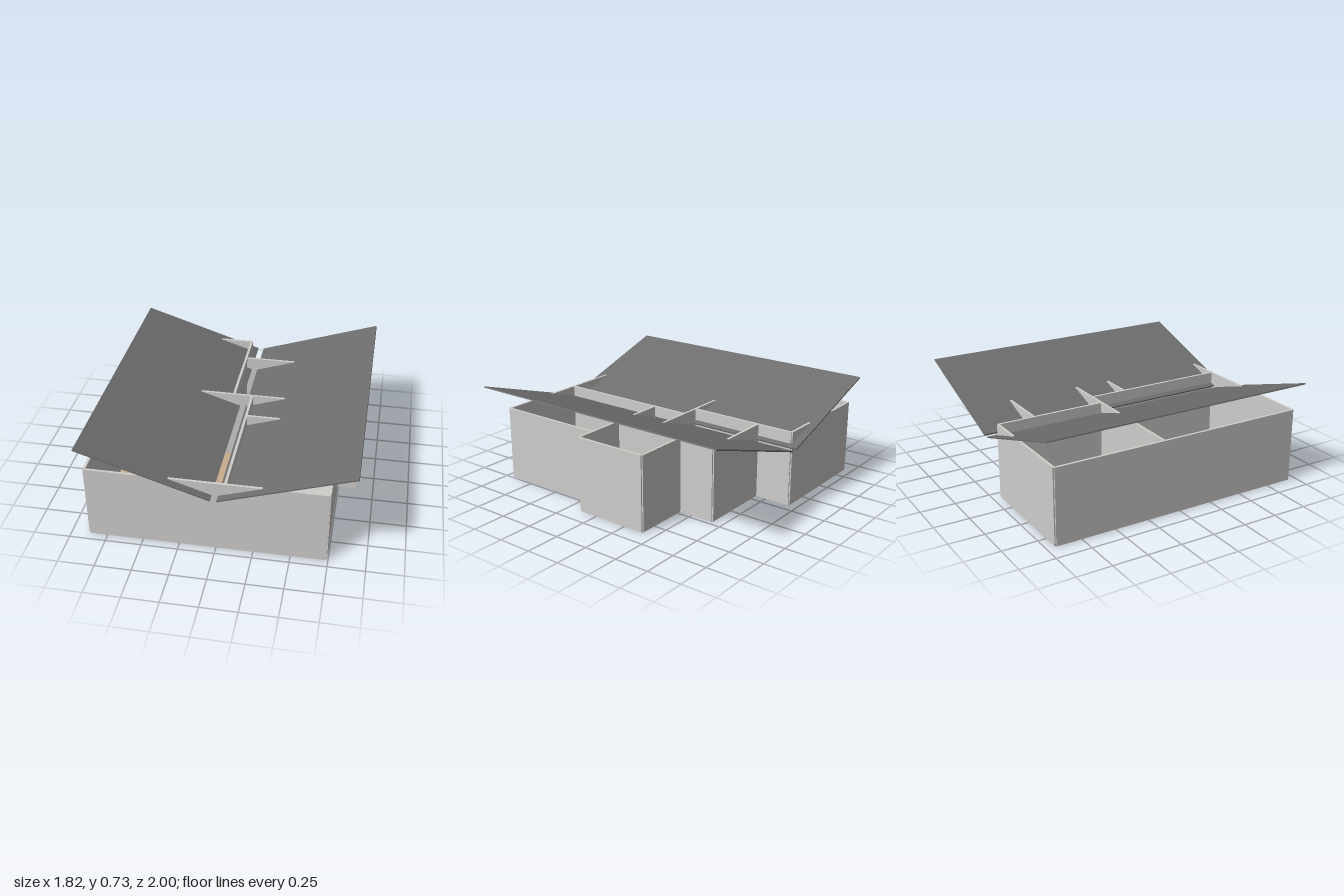
import * as THREE from 'three';

const material = (name, color) => {
  const m = new THREE.MeshStandardMaterial({ color });
  m.name = name;
  return m;
};

export function createModel() {
  const model = new THREE.Group();
  model.name = 'house';

  const plaster = material('plaster', 0xd0cecb);
  const roofing = material('dark roofing', 0x6e6e6e);
  const wood = material('wood floor', 0xc8ac8e);
  const tile = material('pale tile', 0xcccecc);
  const carpet = material('grey carpet', 0xaaaaaa);

  const box = (name, mat, w, h, d, x, y, z) => {
    const mesh = new THREE.Mesh(new THREE.BoxGeometry(w, h, d), mat);
    mesh.name = name;
    mesh.position.set(x, y, z);
    model.add(mesh);
    return mesh;
  };

  // Floors, one slab per room: x0, x1, z0, z1 on the wall centre lines
  const floorH = 0.007;
  const floors = [
    ['livingRoomFloor', wood, -0.87, 0.067, -0.134, 0.935],
    ['frontRoomFloor', tile, 0.067, 0.735, 0.134, 0.935],
    ['backRoomFloor', tile, -0.067, 0.468, -0.668, -0.134],
    ['sideRoomFloor', carpet, 0.468, 0.87, -0.401, 0.134],
    ['cornerRoomFloor', carpet, -0.87, -0.067, -0.935, -0.134],
  ];
  for (const [name, mat, x0, x1, z0, z1] of floors) {
    box(name, mat, x1 - x0, floorH, z1 - z0, (x0 + x1) / 2, floorH / 2, (z0 + z1) / 2);
  }

  // Walls run between centre lines
  const top = 0.54, base = 0.004, thick = 0.018;
  const wallH = top - base, wallY = (top + base) / 2;

  // Walls along z: x, z0, z1
  const lengthwise = [
    [-0.87, -0.935, 0.935],
    [-0.067, -0.935, -0.134],
    [0.067, -0.134, 0.935],
    [0.468, -0.668, 0.134],
    [0.735, 0.134, 0.935],
    [0.87, -0.401, 0.134],
  ];
  for (const [x, z0, z1] of lengthwise) {
    box('lengthwiseWall', plaster, thick, wallH, z1 - z0, x, wallY, (z0 + z1) / 2);
  }

  // Walls along x: z, x0, x1
  const crosswise = [
    [-0.935, -0.87, -0.067],
    [-0.668, -0.067, 0.468],
    [-0.401, 0.468, 0.87],
    [-0.134, -0.87, 0.468],
    [0.134, 0.067, 0.87],
    [0.935, -0.87, 0.735],
  ];
  for (const [z, x0, x1] of crosswise) {
    box('crosswiseWall', plaster, x1 - x0, wallH, thick, (x0 + x1) / 2, wallY, z);
  }

  // Butterfly roof: two thin panels rising outward from a central gap
  const inner = [0.022, 0.442], outer = [0.909, 0.73];
  const run = outer[0] - inner[0], rise = outer[1] - inner[1];
  for (const side of [-1, 1]) {
    const panel = box(side > 0 ? 'leftRoofPanel' : 'rightRoofPanel', roofing,
      Math.hypot(run, rise), 0.009, 2,
      side * (inner[0] + outer[0]) / 2, (inner[1] + outer[1]) / 2, 0);
    panel.rotation.z = side * Math.atan2(rise, run);
  }

  return model;
}
